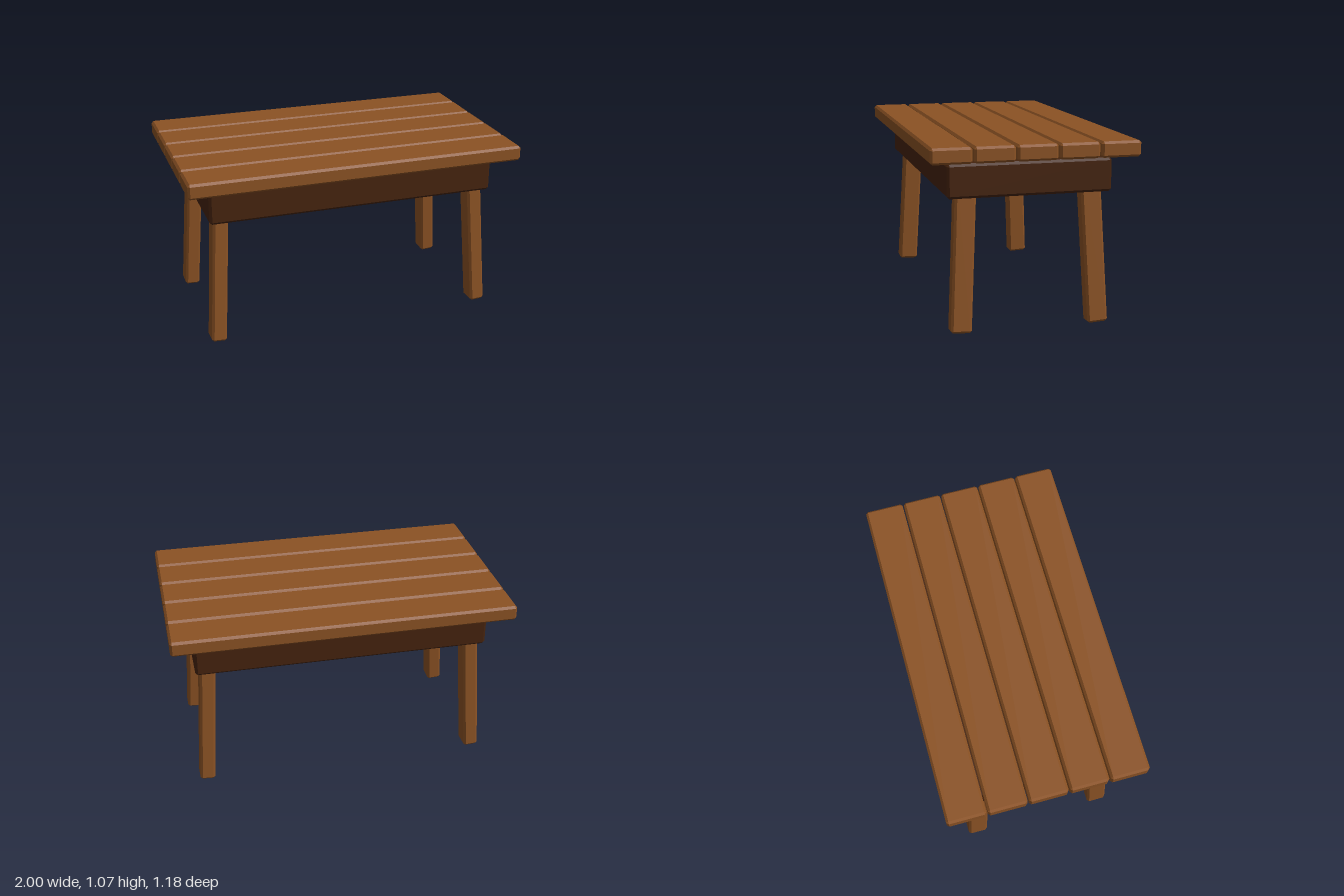
import * as THREE from 'three';
import { ConvexGeometry } from 'three/addons/geometries/ConvexGeometry.js';

// Box with flat 45-degree chamfers on every edge, centred on its origin
function chamferedBox(w, h, d, c) {
  const points = [];
  for (const sx of [-1, 1]) for (const sy of [-1, 1]) for (const sz of [-1, 1]) {
    const x = w / 2, y = h / 2, z = d / 2;
    points.push(
      new THREE.Vector3(sx * x, sy * (y - c), sz * (z - c)),
      new THREE.Vector3(sx * (x - c), sy * y, sz * (z - c)),
      new THREE.Vector3(sx * (x - c), sy * (y - c), sz * z),
    );
  }
  return new ConvexGeometry(points);
}

export function createModel() {
  const table = new THREE.Group();
  table.name = 'table';
  const wood = new THREE.MeshStandardMaterial({ name: 'warm wood', color: 0x8b5224 });
  const darkWood = new THREE.MeshStandardMaterial({ name: 'dark wood', color: 0x45230e });

  // Tabletop: five planks with narrow gaps
  const plankGeometry = chamferedBox(2, 0.09, 0.229, 0.013);
  for (let i = 0; i < 5; i++) {
    const plank = new THREE.Mesh(plankGeometry, wood);
    plank.name = `plank${i + 1}`;
    plank.position.set(0, 1.025, (i - 2) * 0.237);
    table.add(plank);
  }

  // Solid apron just below the planks
  const apron = new THREE.Mesh(chamferedBox(1.73, 0.193, 0.944, 0.015), darkWood);
  apron.name = 'apron';
  apron.position.y = 0.862;
  table.add(apron);

  // Four splayed legs, pivoting at the foot
  const legLength = 0.86;
  const legGeometry = chamferedBox(0.09, legLength, 0.12, 0.013).translate(0, legLength / 2, 0);
  for (const [sx, sz, name] of [
    [1, 1, 'frontLeftLeg'], [-1, 1, 'frontRightLeg'],
    [1, -1, 'backLeftLeg'], [-1, -1, 'backRightLeg'],
  ]) {
    const leg = new THREE.Mesh(legGeometry, wood);
    leg.name = name;
    leg.position.set(sx * 0.838, 0.0045, sz * 0.4);
    leg.rotation.set(-sz * 0.05, 0, sx * 0.062);
    table.add(leg);
  }
  return table;
}
